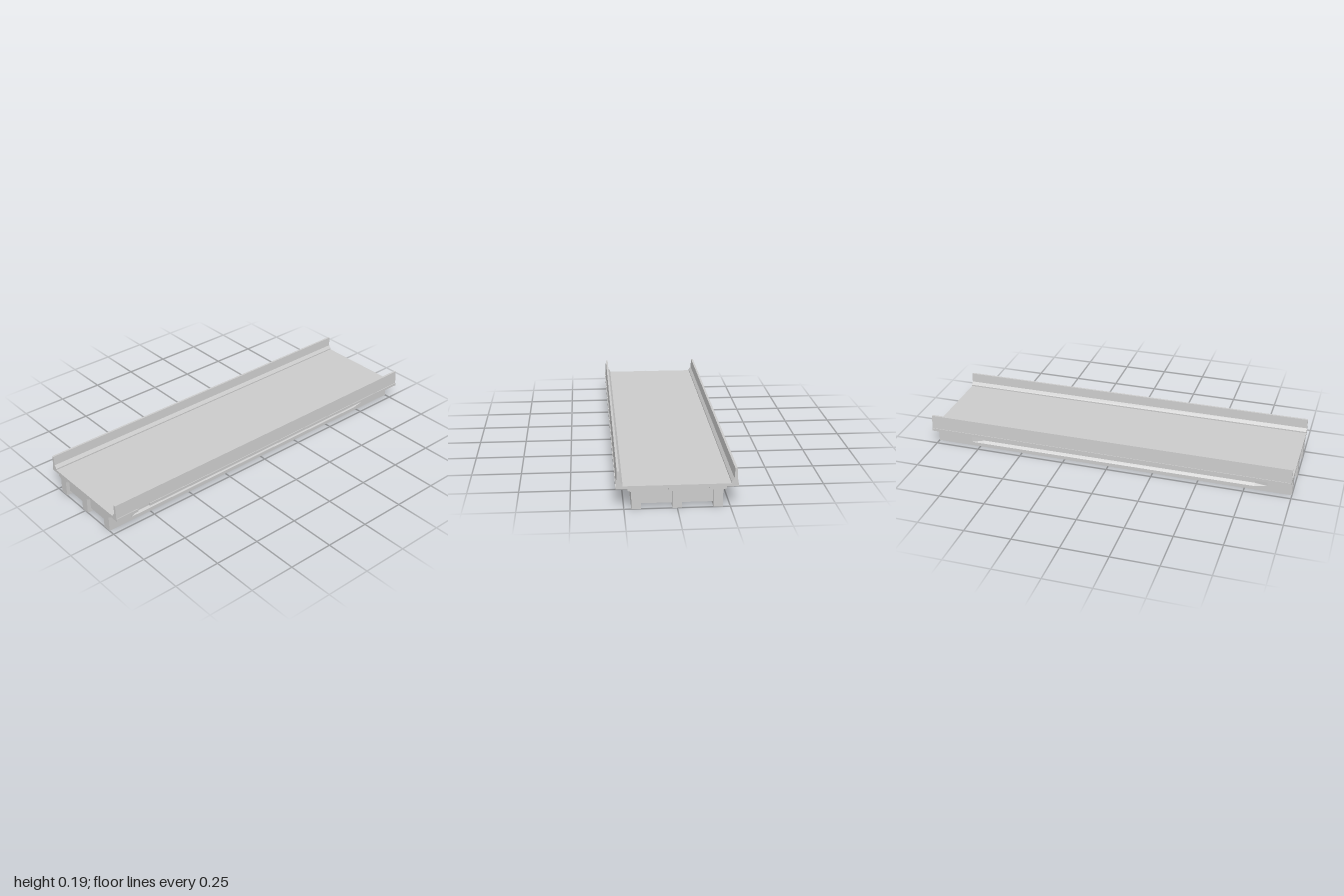
import * as THREE from 'three';

const material = new THREE.MeshStandardMaterial({ color: 0xcccccc, flatShading: true });

function addMesh(group, name, geometry) {
  const mesh = new THREE.Mesh(geometry, material);
  mesh.name = name;
  group.add(mesh);
  return mesh;
}

function shapeOf(points) {
  return new THREE.Shape(points.map(([a, b]) => new THREE.Vector2(a, b)));
}

// Girder: full-width end blocks that taper to a thin web between flanges
function girderGeometry() {
  const half = 0.0225, web = 0.01;
  const side = [[half, 0], [half, 0.02], [half, 0.033], [half, 0.08],
    [half, 0.085], [0.04, 0.0915], [0.04, 0.1]];
  const mirrored = side.map(([z, y]) => [-z, y]).reverse();
  const stations = [-1, -0.87, -0.8, 0.73, 0.8, 1];
  const widths = [half, half, web, web, half, half];
  const geometry = new THREE.ExtrudeGeometry(shapeOf([...side, ...mirrored]),
    { depth: 5, steps: 5, bevelEnabled: false });
  const p = geometry.attributes.position;
  for (let i = 0; i < p.count; i++) {
    const k = Math.round(p.getZ(i));
    const y = p.getY(i);
    if (y > 0.03 && y < 0.082) p.setX(i, Math.sign(p.getX(i)) * widths[k]);
    p.setZ(i, stations[k]);
  }
  geometry.rotateY(Math.PI / 2);
  geometry.computeVertexNormals();
  return geometry;
}

// Cross-section in (z, y) run along x between two ends
function alongX(points, x0, x1) {
  const geometry = new THREE.ExtrudeGeometry(shapeOf(points.map(([z, y]) => [-z, y])),
    { depth: x1 - x0, bevelEnabled: false });
  return geometry.rotateY(Math.PI / 2).translate(x0, 0, 0);
}

export function createModel() {
  const model = new THREE.Group();
  model.name = 'bridgeSpan';

  // Road slab with a small notch in its front lip
  const edge = 0.2885, notch = 0.28;
  const plan = shapeOf([[-1, -edge], [-0.87, -edge], [-0.87, -notch], [-0.8, -notch],
    [-0.8, -edge], [1, -edge], [1, edge], [-1, edge]]);
  const slab = new THREE.ExtrudeGeometry(plan, { depth: 0.015, bevelEnabled: false });
  addMesh(model, 'deckSlab', slab.rotateX(-Math.PI / 2).translate(0, 0.1, 0));

  // Parapets with a sloped kerb on the road side
  const parapet = [[0.285, 0.115], [0.281, 0.19], [0.27, 0.19], [0.267, 0.139],
    [0.2545, 0.122], [0.2545, 0.115]];
  for (const s of [1, -1]) {
    addMesh(model, s > 0 ? 'frontParapet' : 'backParapet',
      alongX(parapet.map(([z, y]) => [s * z, y]), -1, 1));
  }

  // Three girders
  const spacing = 0.1925;
  const girder = girderGeometry();
  for (const i of [-1, 0, 1]) {
    addMesh(model, 'girder', girder).position.z = i * spacing;
  }

  // Cross walls filling the bays between girders
  for (const x of [-0.96, -0.32, 0.32, 0.96]) {
    for (const s of [-1, 1]) {
      const wall = new THREE.BoxGeometry(0.04, 0.08, spacing - 0.02);
      addMesh(model, 'crossWall', wall).position.set(x, 0.06, s * spacing / 2);
    }
  }

  return model;
}
